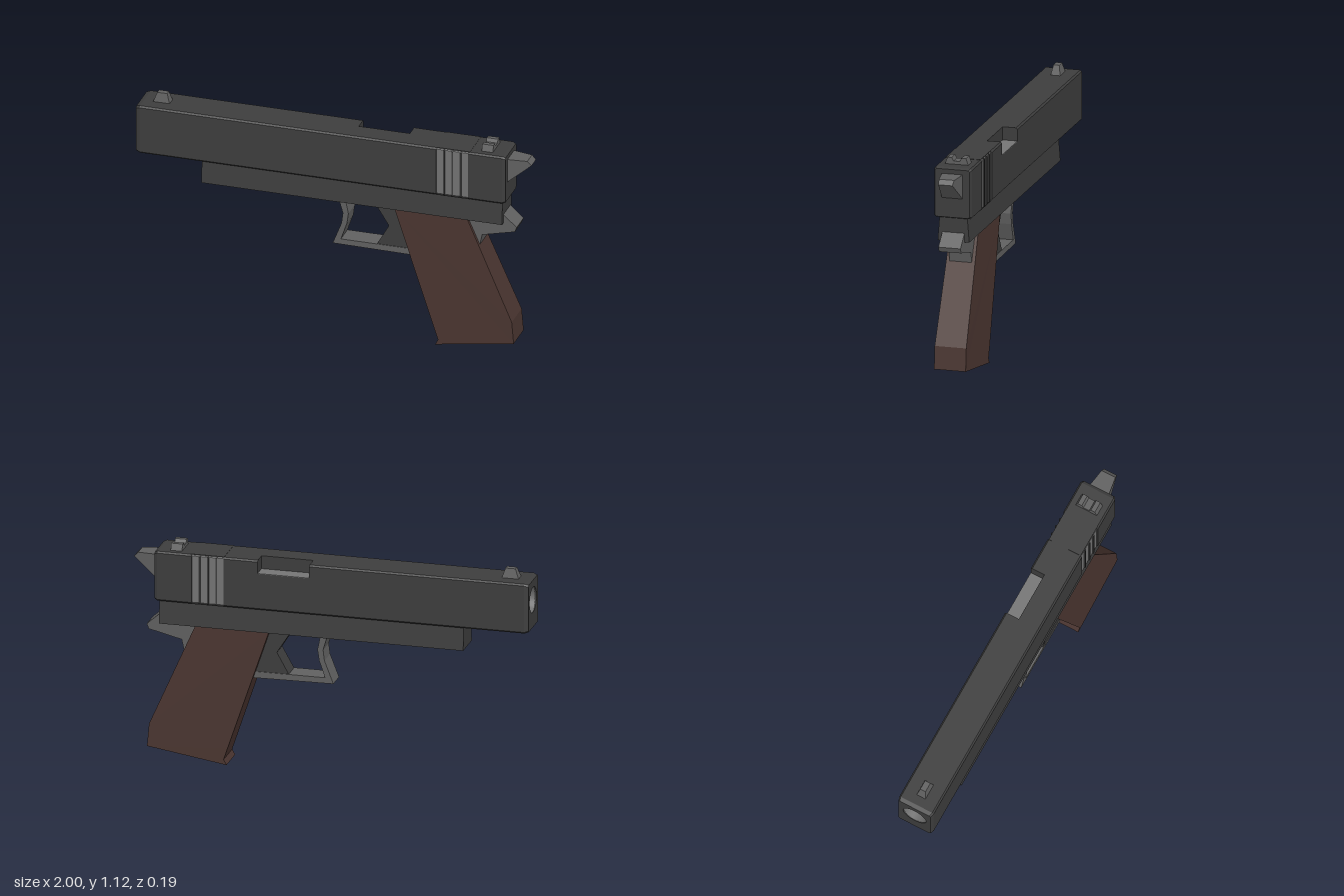
import * as THREE from 'three';

const paint = (color) => new THREE.MeshStandardMaterial({ color, flatShading: true });
const dark = paint(0x3d3d3d), steel = paint(0x606060), pale = paint(0x747474), brown = paint(0x4a3530);

const toShape = (pts) => new THREE.Shape(pts.map(([x, y]) => new THREE.Vector2(x, y)));

// Side outline (x, y) given a half width that may vary with position
function sidePart(name, pts, halfWidth, material, holes = []) {
  const shape = toShape(pts);
  for (const h of holes) shape.holes.push(toShape(h));
  const geo = new THREE.ExtrudeGeometry(shape, { depth: 2, bevelEnabled: false });
  geo.translate(0, 0, -1);
  const p = geo.attributes.position;
  for (let i = 0; i < p.count; i++) p.setZ(i, p.getZ(i) * halfWidth(p.getX(i), p.getY(i)));
  geo.computeVertexNormals();
  const mesh = new THREE.Mesh(geo, material);
  mesh.name = name;
  return mesh;
}

// Cross-section (-z, y) swept along x; the end at x = taperAt shrinks slightly
function alongX(name, shape, x0, x1, material, taperAt = null) {
  const geo = new THREE.ExtrudeGeometry(shape, { depth: x1 - x0, bevelEnabled: false, curveSegments: 16 });
  geo.rotateY(Math.PI / 2);
  geo.translate(x0, 0, 0);
  if (taperAt !== null) {
    const p = geo.attributes.position;
    for (let i = 0; i < p.count; i++) {
      if (Math.abs(p.getX(i) - taperAt) > 1e-4) continue;
      p.setY(i, 0.947 + (p.getY(i) - 0.947) * 0.95);
      p.setZ(i, p.getZ(i) * 0.93);
    }
    geo.computeVertexNormals();
  }
  const mesh = new THREE.Mesh(geo, material);
  mesh.name = name;
  return mesh;
}

const BOTTOM = 0.82, TOP = 1.074, BORE_Y = 0.968, BORE_R = 0.068;

// Slide section with small chamfers
function slideSection(w, bore = false) {
  const c = 0.008;
  const s = toShape([[-w + c, BOTTOM], [w - c, BOTTOM], [w, BOTTOM + c], [w, TOP - c],
    [w - c, TOP], [-w + c, TOP], [-w, TOP - c], [-w, BOTTOM + c]]);
  if (bore) s.holes.push(new THREE.Path().absarc(0, BORE_Y, BORE_R, 0, Math.PI * 2, true));
  return s;
}

function createSlide() {
  const slide = new THREE.Group();
  slide.name = 'slide';
  const W = 0.095, c = 0.008;
  const full = slideSection(W), bored = slideSection(W, true);
  // Section cut away at the ejection port, on the -z side
  const cut = toShape([[-W + c, BOTTOM], [W - c, BOTTOM], [W, BOTTOM + c], [W, 1.005],
    [0.02, 1.005], [0.02, TOP], [-W + c, TOP], [-W, TOP - c], [-W, BOTTOM + c]]);
  slide.add(
    alongX('muzzle', bored, -1, -0.98, dark, -1),
    alongX('slideFront', bored, -0.98, -0.6, dark),
    alongX('slideMiddle', full, -0.6, 0.1, dark),
    alongX('slideAtPort', cut, 0.1, 0.36, dark),
    alongX('slideRear', full, 0.36, 0.53, dark),
    alongX('slideTail', full, 0.7, 0.865, dark),
    alongX('slideEnd', full, 0.865, 0.88, dark, 0.88));

  // Grooves with thin ribs between them
  const groove = slideSection(0.089);
  for (let i = 0; i < 4; i++) {
    const x = 0.53 + i * 0.0425;
    slide.add(alongX('groove', groove, x, x + 0.0345, pale));
    slide.add(alongX('grooveRib', full, x + 0.0345, x + 0.0425, dark));
  }
  // Dark top and bottom over the grooves
  for (const y of [TOP, BOTTOM]) {
    const cover = new THREE.Mesh(new THREE.BoxGeometry(0.17, 0.003, 0.176), dark);
    cover.position.set(0.615, y, 0);
    cover.name = 'grooveCover';
    slide.add(cover);
  }

  // Pale floor of the ejection port
  const floor = new THREE.Mesh(new THREE.BoxGeometry(0.26, 0.004, 0.075), pale);
  floor.position.set(0.23, 1.006, -0.0575);
  floor.name = 'ejectionPort';
  slide.add(floor);

  // Barrel lining and its inner end
  const lining = new THREE.Mesh(
    new THREE.CylinderGeometry(0.066, 0.066, 0.395, 24, 1, true),
    new THREE.MeshStandardMaterial({ color: 0x707070, side: THREE.DoubleSide }));
  lining.rotation.z = Math.PI / 2;
  lining.position.set(-0.7975, BORE_Y, 0);
  lining.name = 'barrel';
  slide.add(lining);
  return slide;
}

export function createModel() {
  const model = new THREE.Group();
  model.name = 'pistol';
  model.add(createSlide());

  // Frame, wider towards its lower edge
  model.add(sidePart('frame', [[-0.67, 0.7], [0.86, 0.7], [0.86, 0.822], [-0.67, 0.822]],
    (x, y) => 0.08 - (y - 0.7) * 0.08, dark));

  // Grip, flaring from top to heel
  model.add(sidePart('grip', [[0.31, 0.702], [0.515, 0.09], [0.535, 0.03], [0.52, 0.003],
    [0.92, 0.065], [0.91, 0.18], [0.68, 0.702]],
    (x, y) => 0.08 - Math.max(0, y - 0.19) * 0.018, brown));

  // Tang behind the grip
  model.add(sidePart('tang', [[0.66, 0.7], [0.72, 0.56], [0.738, 0.555], [0.752, 0.62], [0.918, 0.66],
    [0.928, 0.685], [0.86, 0.745], [0.8, 0.745]], () => 0.056, steel));

  // Trigger guard and trigger
  model.add(sidePart('triggerGuard', [[0.02, 0.705], [0.042, 0.63], [0.035, 0.575], [-0.01, 0.46],
    [0.42, 0.455], [0.42, 0.488], [0.032, 0.488], [0.062, 0.575], [0.07, 0.63], [0.055, 0.705]],
    () => 0.053, steel));
  model.add(sidePart('trigger', [[0.205, 0.705], [0.275, 0.595], [0.215, 0.487], [0.42, 0.487], [0.35, 0.705]],
    () => 0.05, dark));

  // Hammer, narrowing to its tip
  model.add(sidePart('hammer', [[0.87, 0.918], [0.88, 0.923], [0.997, 1.02], [0.976, 1.042], [0.87, 1.045]],
    (x) => 0.053 - (x - 0.88) * 0.15, steel));

  // Sights
  model.add(sidePart('frontSight', [[-0.935, 1.07], [-0.848, 1.07], [-0.865, 1.122], [-0.915, 1.122]],
    (x, y) => 0.025 - (y - 1.07) * 0.2, steel));
  model.add(alongX('rearSight', toShape([[-0.06, 1.07], [0.06, 1.07], [0.047, 1.107], [0.025, 1.107],
    [0.016, 1.09], [-0.016, 1.09], [-0.025, 1.107], [-0.047, 1.107]]), 0.75, 0.807, steel));
  return model;
}
